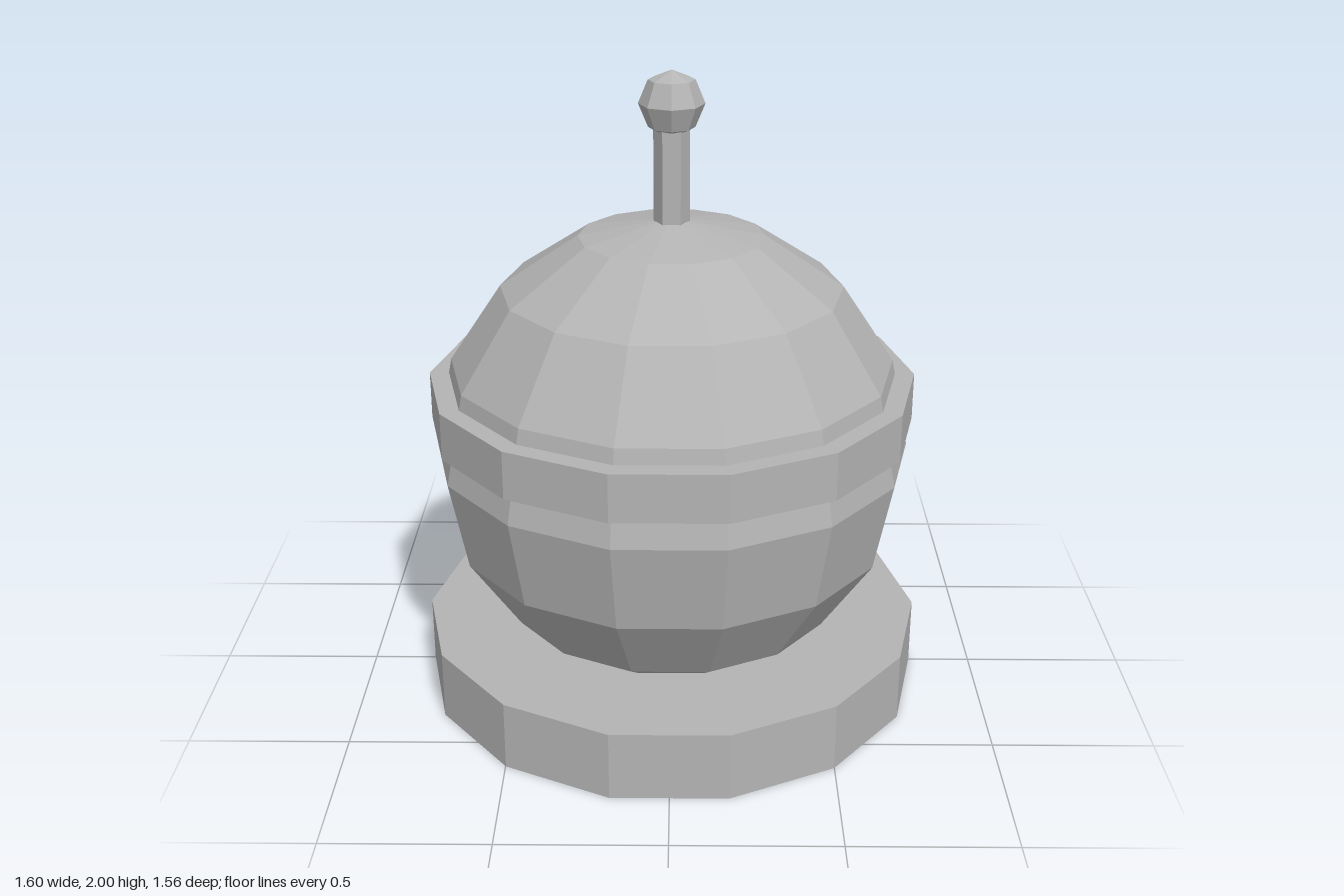
import * as THREE from 'three';

export function createModel() {
  const model = new THREE.Group();
  const grey = new THREE.MeshStandardMaterial({ color: 0xb4b4b4, flatShading: true });
  grey.name = 'grey';

  const add = (name, geometry, y) => {
    const mesh = new THREE.Mesh(geometry, grey);
    mesh.name = name;
    mesh.position.y = y;
    model.add(mesh);
  };
  // Upright prism with a corner pointing along +x
  const prism = (radius, height, sides) =>
    new THREE.CylinderGeometry(radius, radius, height, sides, 1, false, Math.PI / 2);

  // Flat plinth under the body
  add('base', prism(0.8, 0.22, 14), 0.11);
  // Faceted round body
  add('body', new THREE.SphereGeometry(0.75, 14, 8), 0.8);
  // Band around the upper body
  add('band', prism(0.763, 0.15, 14), 0.965);
  // Stem and knob on top
  add('stem', prism(0.055, 0.35, 6), 1.675);
  add('knob', new THREE.SphereGeometry(0.1, 8, 4), 1.9);

  return model;
}
